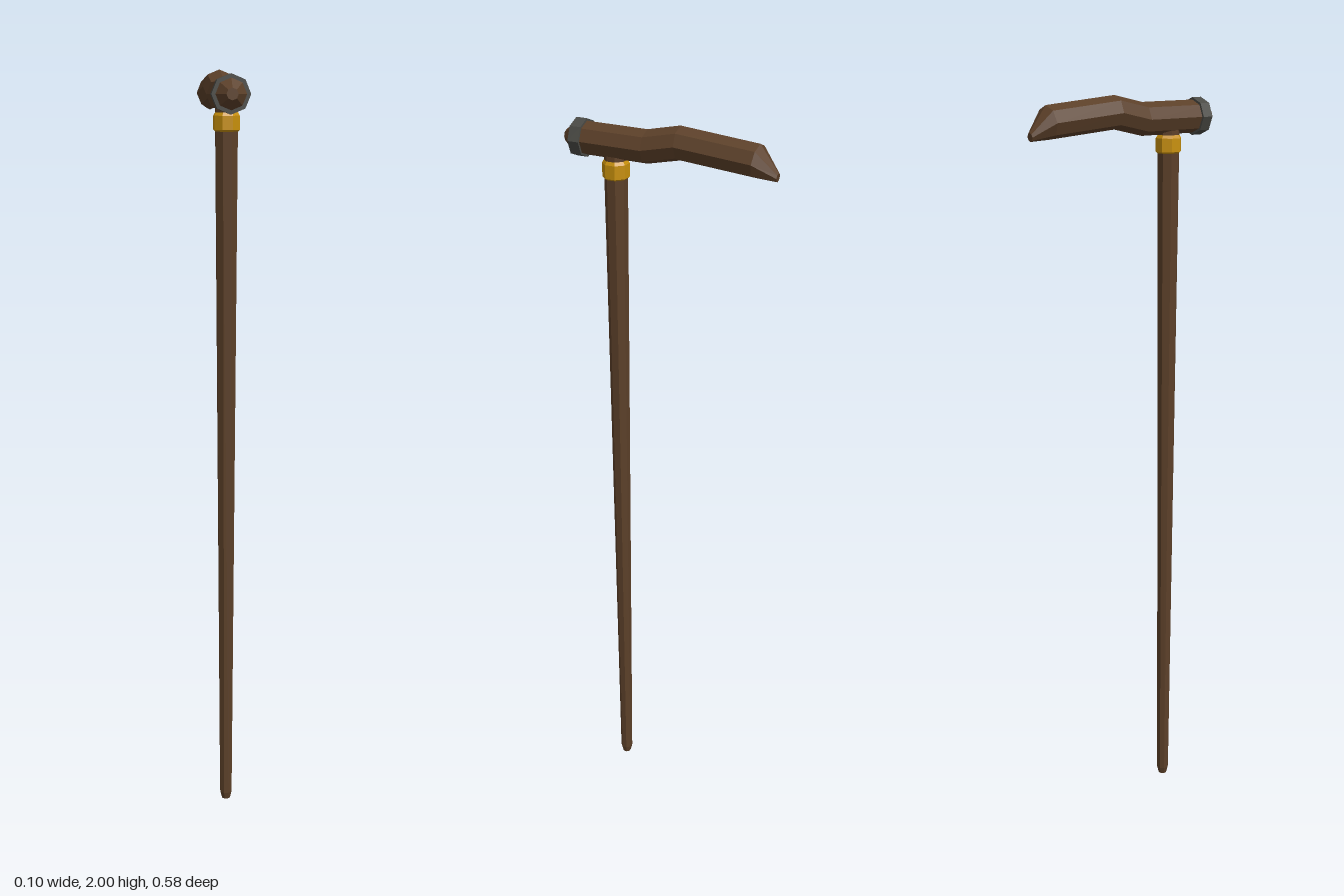
import * as THREE from 'three';

const SIDES = 8;
const material = (color) => new THREE.MeshStandardMaterial({ color, flatShading: true });

// Octagonal turned part around the shaft axis, profile given bottom to top as [radius, y]
function turned(name, profile, mat) {
  const points = profile.map(([r, y]) => new THREE.Vector2(r, y));
  const mesh = new THREE.Mesh(new THREE.LatheGeometry(points, SIDES, Math.PI / 8), mat);
  mesh.name = name;
  mesh.position.z = 0.15;
  return mesh;
}

// Closed loft through octagonal sections, back to front: [z, centre y, radius, lean]
function loft(name, sections, mat) {
  const positions = [];
  const indices = [];
  for (const [z, y, r, lean] of sections) {
    for (let i = 0; i < SIDES; i++) {
      const a = (i / SIDES) * Math.PI * 2;
      positions.push(r * Math.cos(a), y + r * Math.sin(a), z + lean * Math.sin(a));
    }
  }
  for (let s = 0; s < sections.length - 1; s++) {
    for (let i = 0; i < SIDES; i++) {
      const a = s * SIDES + i;
      const b = s * SIDES + ((i + 1) % SIDES);
      indices.push(a, b, a + SIDES, b, b + SIDES, a + SIDES);
    }
  }
  // End caps
  const last = (sections.length - 1) * SIDES;
  for (let i = 1; i < SIDES - 1; i++) {
    indices.push(0, i + 1, i, last, last + i, last + i + 1);
  }
  const geometry = new THREE.BufferGeometry();
  geometry.setAttribute('position', new THREE.Float32BufferAttribute(positions, 3));
  geometry.setIndex(indices);
  geometry.computeVertexNormals();
  const mesh = new THREE.Mesh(geometry, mat);
  mesh.name = name;
  return mesh;
}

export function createModel() {
  const wood = material(0x5c4029);
  const gold = material(0xc8900c);
  const iron = material(0x4a4a45);

  const cane = new THREE.Group();
  cane.name = 'walkingCane';

  // Tapered shaft with a chamfered foot
  cane.add(turned('shaft', [[0, 0], [0.012, 0], [0.017, 0.02], [0.03, 1.85], [0.03, 1.92]], wood));

  // Collar below the handle
  cane.add(turned('collar', [
    [0.029, 1.845], [0.035, 1.85], [0.035, 1.885], [0.029, 1.895],
  ], gold));

  // Curved grip: pointed drooping tail, raised middle, blunt nose
  cane.add(loft('handle', [
    [-0.289, 1.906, 0.011, -0.001],
    [-0.235, 1.94, 0.042, -0.006],
    [-0.03, 1.957, 0.043, 0],
    [0.06, 1.937, 0.043, 0],
    [0.255, 1.938, 0.043, 0],
    [0.289, 1.938, 0.015, 0],
  ], wood));

  // Band around the nose
  cane.add(loft('noseBand', [
    [0.23, 1.938, 0.049, 0],
    [0.26, 1.938, 0.049, 0],
  ], iron));

  return cane;
}
